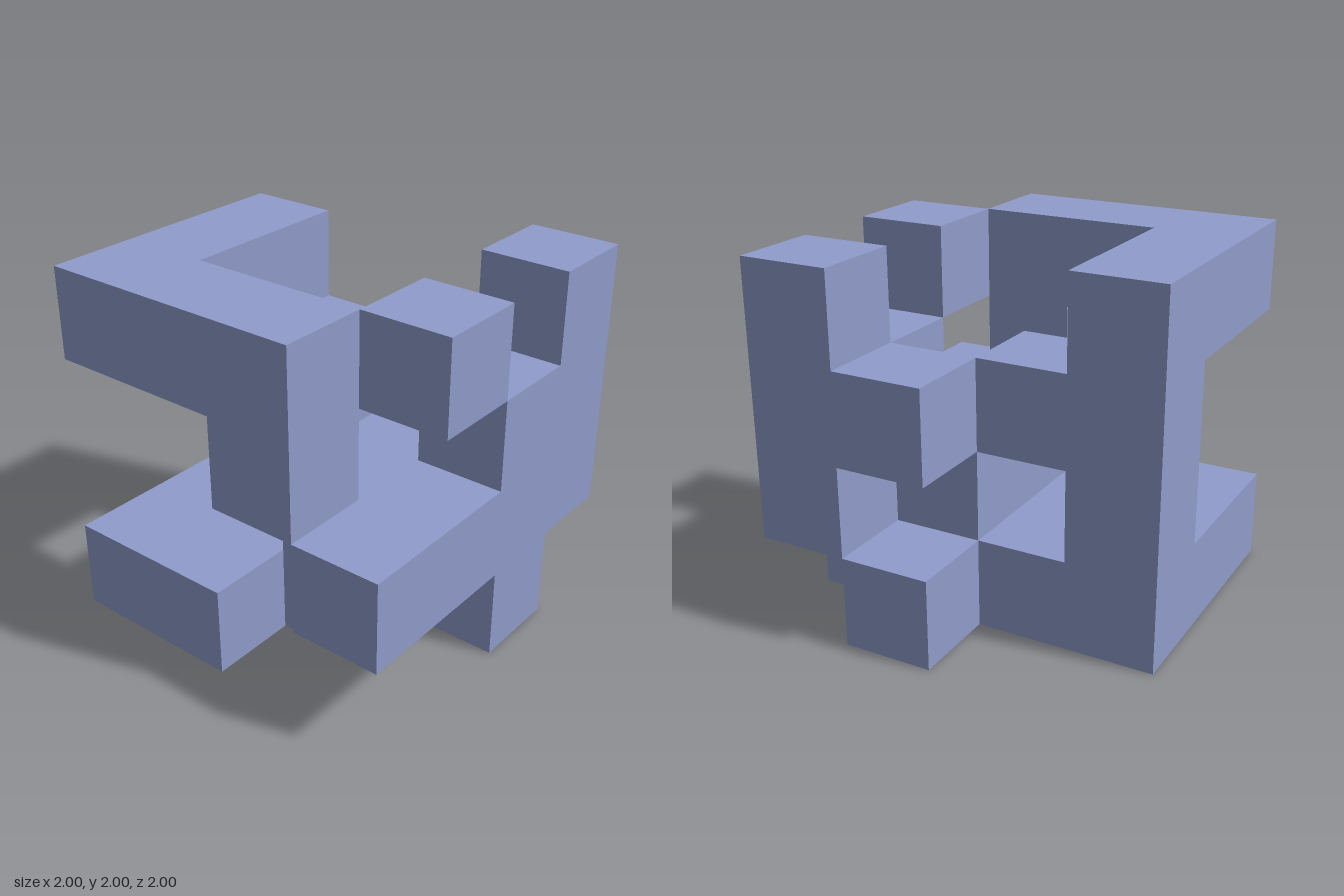
import * as THREE from 'three';
import { mergeGeometries } from 'three/addons/utils/BufferGeometryUtils.js';

// Floor plans from bottom to top; rows run back to front, columns from -x to +x
const LAYERS = [
  ['..#.', '####', '###.', '##..'],
  ['...#', '#.##', '..##', '...#'],
  ['..##', '##.#', '....', '..#.'],
  ['...#', '#...', '#..#', '###.'],
];
const CELL = 0.5;
const filled = (x, y, z) => LAYERS[y]?.[z]?.[x] === '#';

// Outward direction of each cube side, with the turn that takes +z to it
const SIDES = [
  { dir: [0, 0, 1], rx: 0, ry: 0 },
  { dir: [0, 0, -1], rx: 0, ry: Math.PI },
  { dir: [1, 0, 0], rx: 0, ry: Math.PI / 2 },
  { dir: [-1, 0, 0], rx: 0, ry: -Math.PI / 2 },
  { dir: [0, 1, 0], rx: -Math.PI / 2, ry: 0 },
  { dir: [0, -1, 0], rx: Math.PI / 2, ry: 0 },
];

// One square for every cube side that is not covered by a neighbour
function blockGeometry() {
  const faces = [];
  for (let y = 0; y < 4; y++)
    for (let z = 0; z < 4; z++)
      for (let x = 0; x < 4; x++) {
        if (!filled(x, y, z)) continue;
        for (const { dir, rx, ry } of SIDES) {
          if (filled(x + dir[0], y + dir[1], z + dir[2])) continue;
          faces.push(new THREE.PlaneGeometry(CELL, CELL)
            .translate(0, 0, CELL / 2)
            .rotateX(rx)
            .rotateY(ry)
            .translate((x - 1.5) * CELL, (y + 0.5) * CELL, (z - 1.5) * CELL));
        }
      }
  return mergeGeometries(faces);
}

export function createModel() {
  const group = new THREE.Group();
  group.name = 'cubePuzzle';
  const block = new THREE.Mesh(
    blockGeometry(),
    new THREE.MeshStandardMaterial({ color: 0x909ccb }),
  );
  block.name = 'cubeLattice';
  group.add(block);
  return group;
}
